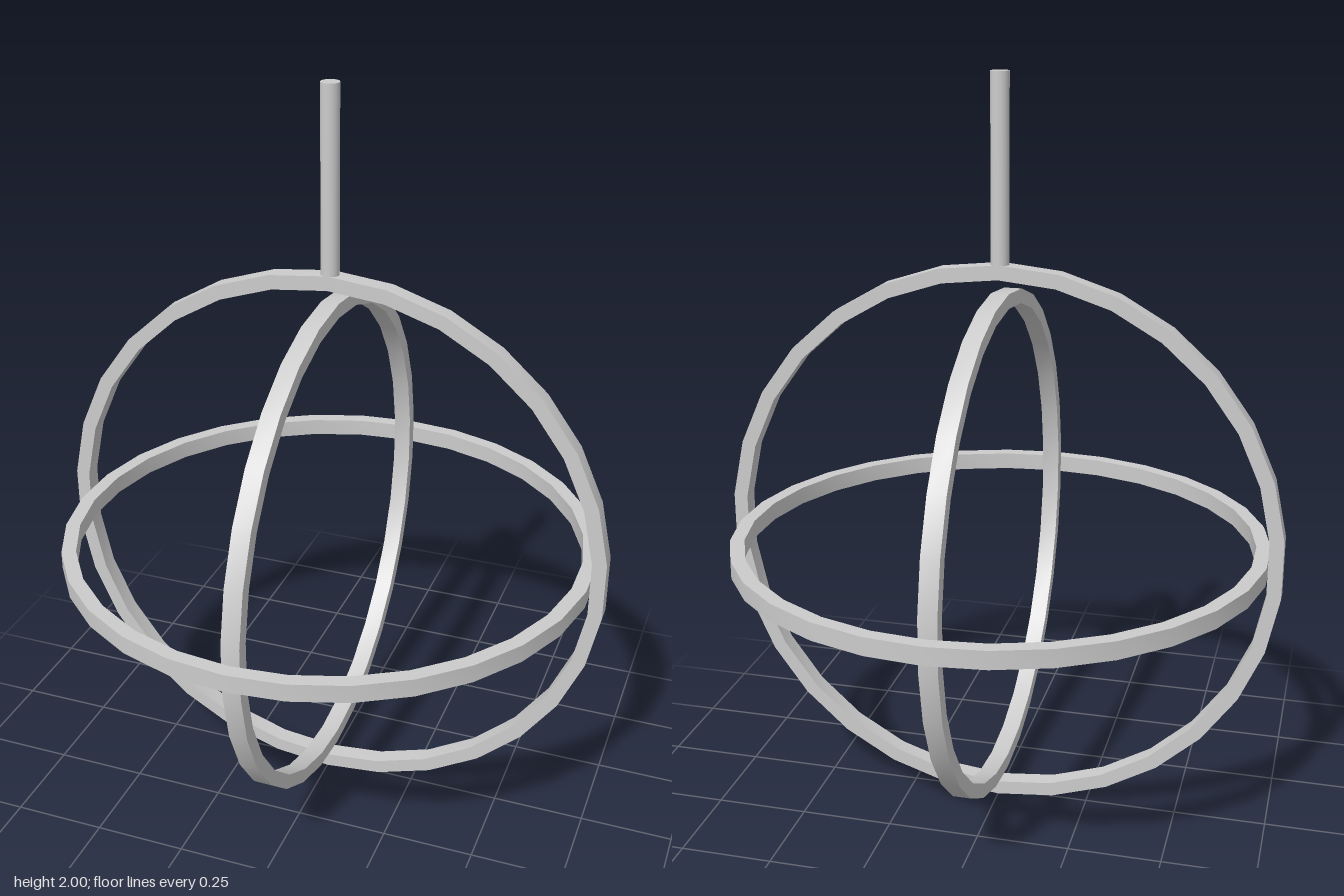
import * as THREE from 'three';
import { toCreasedNormals } from 'three/addons/utils/BufferGeometryUtils.js';

const CENTER_Y = 0.761;
const BAND = 0.048;       // band width along the ring's axis
const THICKNESS = 0.0385; // radial thickness
const SEGMENTS = 30;

export function createModel() {
  const model = new THREE.Group();
  const material = new THREE.MeshStandardMaterial({ color: 0xcccccc });

  // Flat band ring lying in the horizontal plane, crisp rectangular section
  function addRing(name, outer, rotX, rotY) {
    const inner = outer - THICKNESS, h = BAND / 2;
    const profile = [[inner, -h], [outer, -h], [outer, h], [inner, h], [inner, -h]]
      .map(([x, y]) => new THREE.Vector2(x, y));
    const geometry = toCreasedNormals(new THREE.LatheGeometry(profile, SEGMENTS), Math.PI / 6);
    geometry.rotateX(rotX).rotateY(rotY);
    const ring = new THREE.Mesh(geometry, material);
    ring.name = name;
    ring.position.y = CENTER_Y;
    model.add(ring);
  }

  // Three nested rings, each at right angles to the others
  addRing('outerRing', 0.761, Math.PI / 2, 0);
  addRing('horizontalRing', 0.722, 0, 0);
  addRing('innerRing', 0.683, Math.PI / 2, Math.PI / 2);

  // Hanging rod, rising from the top of the outer ring
  const bottom = 1.51, top = 2;
  const rod = new THREE.Mesh(
    new THREE.CylinderGeometry(0.024, 0.024, top - bottom, 24), material);
  rod.name = 'hangingRod';
  rod.position.y = (top + bottom) / 2;
  model.add(rod);

  return model;
}
